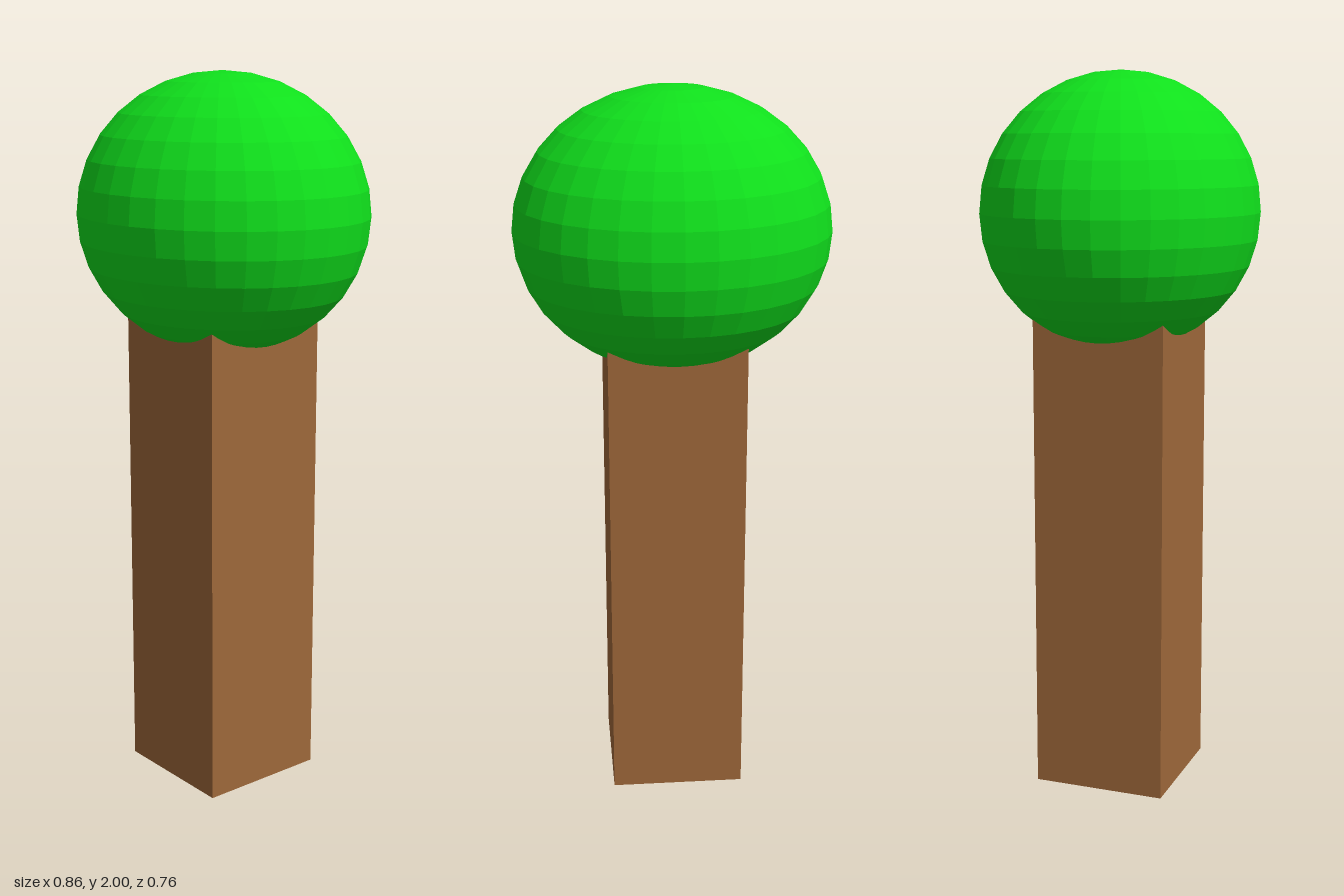
import * as THREE from 'three';

export function createModel() {
  const group = new THREE.Group();

  const addPart = (name, geometry, color, y) => {
    const material = new THREE.MeshStandardMaterial({ color, flatShading: true });
    const mesh = new THREE.Mesh(geometry, material);
    mesh.name = name;
    mesh.position.y = y;
    group.add(mesh);
  };

  // Square trunk, its top buried in the crown
  const trunkHeight = 1.4;
  addPart('trunk', new THREE.BoxGeometry(0.374, trunkHeight, 0.374), 0x9e683a, trunkHeight / 2);

  // Faceted crown, wider from side to side
  const crown = new THREE.SphereGeometry(1, 32, 16).scale(0.43, 0.381, 0.381);
  addPart('crown', crown, 0x10e01c, 1.619);

  return group;
}
